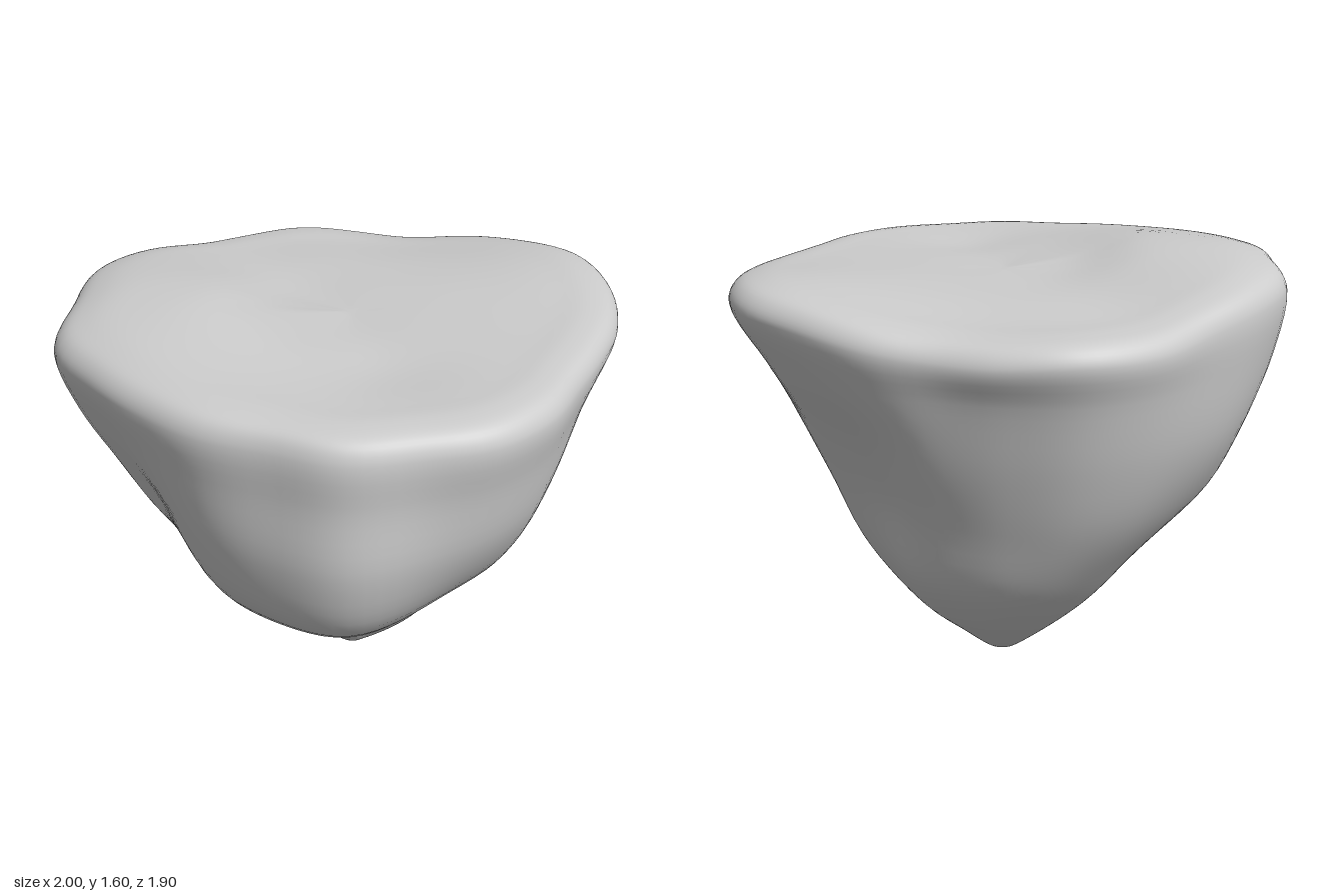
import * as THREE from 'three';

const TAU = Math.PI * 2, SIDES = 112, ROWS = 72;

// Rim radius every 15 degrees, from +x towards +z
const RIM = [1, .98, .935, .885, .875, .92, .945, .925, .94, .9, .92, .93,
  .965, 1.025, .985, 1, .965, .925, .95, .96, .92, .885, .925, .955];

// Flank reach at each height, every 30 degrees, from +x towards +z
const LEVELS = [
  [.03, [.10, .07, .04, .01, .0, .0, .02, .05, .08, .11, .12, .12]],
  [.15, [.24, .23, .18, .10, .12, .13, .12, .18, .23, .26, .28, .27]],
  [.30, [.40, .38, .31, .25, .30, .31, .27, .34, .39, .42, .45, .44]],
  [.50, [.53, .54, .49, .45, .54, .54, .46, .50, .55, .59, .62, .59]],
  [.75, [.62, .66, .67, .71, .86, .77, .67, .73, .75, .76, .72, .66]],
  [1.0, [.74, .77, .78, .86, .945, .86, .78, .88, .89, .86, .80, .75]],
  [1.25, [.89, .86, .84, .915, .94, .90, .90, .97, .95, .92, .87, .87]],
];

// Hollows and knobs on the flanks: angle in degrees, height, depth
const DENTS = [[-18, .82, -.04], [-42, .98, .025], [222, 1.05, -.035], [218, .75, .03]];

// Smooth periodic interpolation of evenly spaced values
function around(values, angle) {
  const n = values.length, t = ((angle / TAU) % 1 + 1) % 1 * n, i = Math.floor(t), f = t - i;
  const [a, b, c, d] = [-1, 0, 1, 2].map(k => values[(i + k + n) % n]);
  return b + .5 * f * (c - a + f * (2 * a - 5 * b + 4 * c - d + f * (3 * (b - c) + d - a)));
}

const bump = (d2, width) => Math.exp(-d2 / (width * width));

// Height of the uneven top face: a long swell on the right, shallow dips elsewhere
function topHeight(x, z) {
  const at = (cx, cz, wx, wz = wx) => bump(((x - cx) / wx) ** 2 + ((z - cz) / wz) ** 2, 1);
  return 1.51 + .09 * at(-.56, -.27, .36, .52) + .035 * at(.85, .05, .35)
    - .055 * at(.55, -.7, .38) - .035 * at(0, -.9, .3)
    - .03 * at(-.1, -.2, .22, .45) - .02 * at(-.1, .45, .2);
}

// Profile from the bottom tip, up the flank and over the rim to the top centre
function profile(angle) {
  const c = Math.cos(angle), s = Math.sin(angle);
  const points = [new THREE.Vector3(.04, 0, -.05)];
  const rim = around(RIM, angle);
  const coarse = around(RIM.filter((_, i) => i % 2 === 0), angle);
  for (const [y, reach] of LEVELS) {
    const k = 1 - y / 1.45, cx = .04 * k, cz = -.05 * k;
    let r = around(reach, angle) * (1 + (rim / coarse - 1) * y / 1.45) - cx * c - cz * s;
    for (const [deg, h, depth] of DENTS) {
      const da = Math.atan2(Math.sin(angle - deg * TAU / 360), Math.cos(angle - deg * TAU / 360));
      r += depth * bump(da * da + (y - h) ** 2, .25);
    }
    points.push(new THREE.Vector3(cx + r * c, y, cz + r * s));
  }
  for (const [f, drop] of [[1, .08], [.965, .022], [.88, 0], [.75, 0], [.5, 0], [.25, 0], [0, 0]]) {
    const x = rim * f * c, z = rim * f * s;
    points.push(new THREE.Vector3(x, topHeight(x, z) - drop, z));
  }
  return new THREE.CatmullRomCurve3(points).getPoints(ROWS);
}

export function createModel() {
  const positions = [], index = [], stride = ROWS + 1;
  for (let i = 0; i < SIDES; i++) {
    for (const p of profile(i / SIDES * TAU)) positions.push(p.x, Math.max(p.y, 0), p.z);
    const a = i * stride, b = (i + 1) % SIDES * stride;
    for (let j = 0; j < ROWS; j++) {
      index.push(a + j, a + j + 1, b + j + (j < ROWS - 1 ? 1 : 0));
      if (j > 0 && j < ROWS - 1) index.push(a + j, b + j + 1, b + j);
    }
  }
  const geometry = new THREE.BufferGeometry();
  geometry.setAttribute('position', new THREE.Float32BufferAttribute(positions, 3));
  geometry.setIndex(index);
  geometry.computeVertexNormals();
  // Shared normals where all profiles meet
  for (let i = 0; i < SIDES; i++) {
    geometry.attributes.normal.setXYZ(i * stride, 0, -1, 0);
    geometry.attributes.normal.setXYZ(i * stride + ROWS, 0, 1, 0);
  }

  const rock = new THREE.Mesh(geometry, new THREE.MeshStandardMaterial({ color: 0xcccccc }));
  rock.name = 'rock';
  const group = new THREE.Group();
  group.name = 'taperedRock';
  group.add(rock);
  return group;
}
